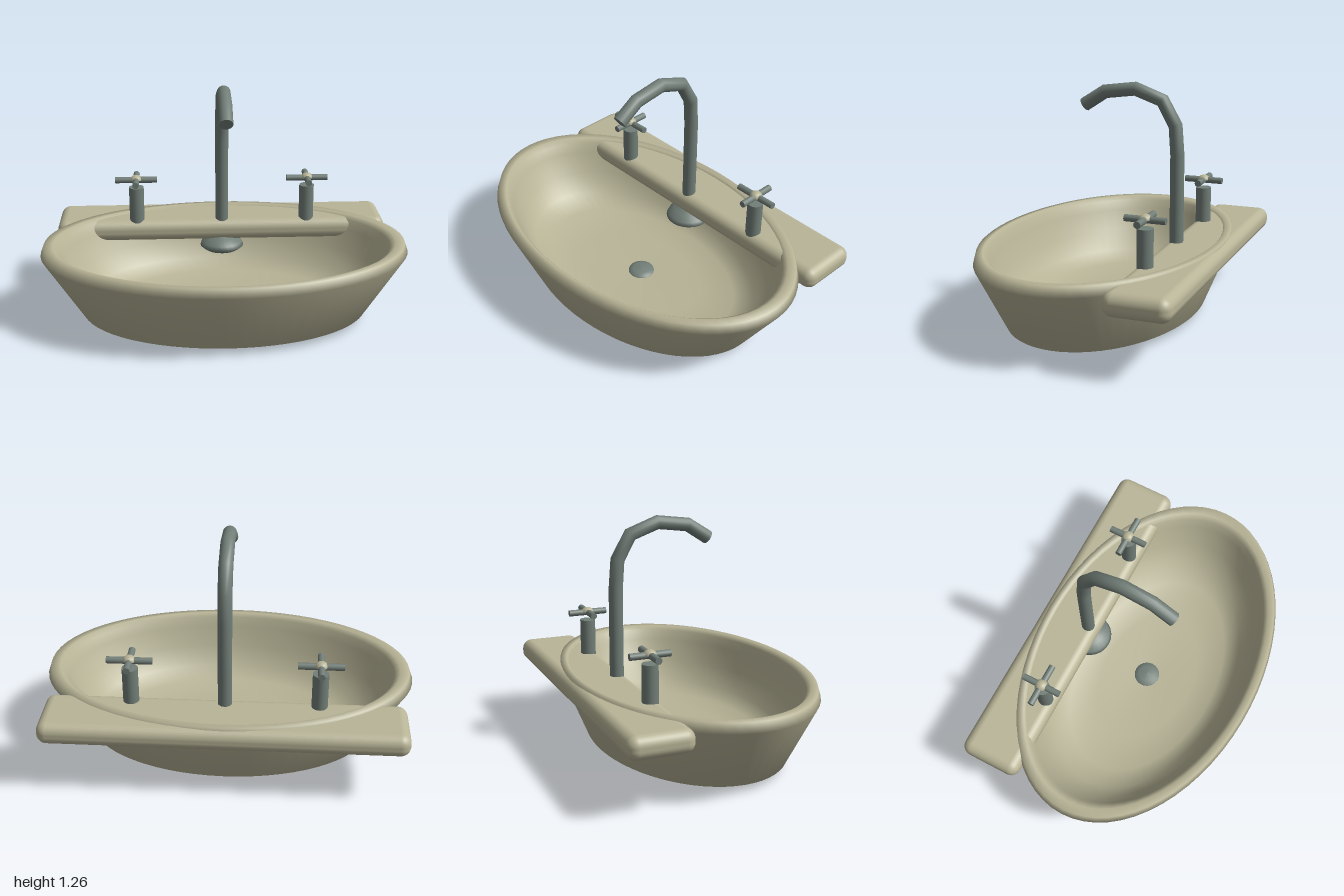
import * as THREE from 'three';
import { RoundedBoxGeometry } from 'three/addons/geometries/RoundedBoxGeometry.js';

const ceramic = new THREE.MeshStandardMaterial({ color: 0xb8b497 });
ceramic.name = 'ceramic';
const metal = new THREE.MeshStandardMaterial({ color: 0x727e78 });
metal.name = 'metal';

function part(parent, name, geometry, material, x = 0, y = 0, z = 0) {
  const mesh = new THREE.Mesh(geometry, material);
  mesh.name = name;
  mesh.position.set(x, y, z);
  parent.add(mesh);
  return mesh;
}

function lathe(profile, segments) {
  return new THREE.LatheGeometry(profile.map(([r, y]) => new THREE.Vector2(r, y)), segments);
}

// Tube whose rings sit exactly on the given points, keeping the bends angular
function bentPipe(points, radius, sides) {
  const curve = new THREE.CatmullRomCurve3(points);
  curve.getPointAt = (u, target) => curve.getPoint(u, target);
  curve.getTangentAt = (u, target) => curve.getTangent(u, target);
  return new THREE.TubeGeometry(curve, points.length - 1, radius, sides, false);
}

export function createModel() {
  const model = new THREE.Group();
  model.name = 'washbasin';
  const tapZ = -0.373;

  // Oval bowl: up the outside, over the rim, down the inside
  const bowl = lathe([
    [0, 0.003], [0.62, 0.003], [0.78, 0.042], [0.998, 0.385], [0.98, 0.435],
    [0.93, 0.436], [0.9, 0.415], [0.88, 0.36], [0.82, 0.25], [0.74, 0.14],
    [0.62, 0.085], [0.4, 0.065], [0, 0.055],
  ], 64);
  bowl.scale(1, 1, 0.638);
  part(model, 'bowl', bowl, ceramic, 0, 0, 0.007);

  // Shelf crossing the back of the bowl
  part(model, 'tapShelf', new RoundedBoxGeometry(1.886, 0.122, 0.338, 4, 0.053), ceramic, 0, 0.364, -0.482);

  // Drain in the floor
  part(model, 'drain', lathe([[0.075, 0.05], [0.07, 0.064], [0.045, 0.074], [0, 0.078]], 24), metal);

  // Flared mount below the shelf
  part(model, 'spoutMount', lathe([
    [0, 0.24], [0.1, 0.242], [0.125, 0.262], [0.115, 0.285], [0.08, 0.308], [0.037, 0.325],
  ], 24), metal, 0, 0, tapZ);

  // Gooseneck spout
  const path = [
    [-0.373, 0.32], [-0.373, 0.6], [-0.372, 0.89], [-0.36, 1.045], [-0.288, 1.172],
    [-0.137, 1.227], [0.033, 1.205], [0.15, 1.13],
  ].map(([z, y]) => new THREE.Vector3(0, y, z));
  part(model, 'spout', bentPipe(path, 0.037, 16), metal);
  const end = path[path.length - 1];
  const cap = part(model, 'spoutEnd', new THREE.CircleGeometry(0.037, 16), metal, 0, end.y, end.z);
  cap.lookAt(end.clone().multiplyScalar(2).sub(path[path.length - 2]));

  // Cross-handled taps
  for (const side of [-1, 1]) {
    const tap = new THREE.Group();
    tap.name = side > 0 ? 'leftTap' : 'rightTap';
    tap.position.set(side * 0.488, 0, tapZ);
    model.add(tap);
    part(tap, 'column', new THREE.CylinderGeometry(0.042, 0.042, 0.26, 20), metal, 0, 0.49, 0);
    const bar = (length) => new THREE.CylinderGeometry(0.018, 0.018, length, 12);
    part(tap, 'crossBarWide', bar(0.236).rotateZ(Math.PI / 2), metal, 0, 0.663, 0);
    part(tap, 'crossBarDeep', bar(0.214).rotateX(Math.PI / 2), metal, 0, 0.663, 0);
    const button = new THREE.SphereGeometry(0.034, 16, 6, 0, Math.PI * 2, 0, Math.PI / 2);
    part(tap, 'button', button.scale(1, 0.8, 1), ceramic, 0, 0.664, 0);
  }
  return model;
}
